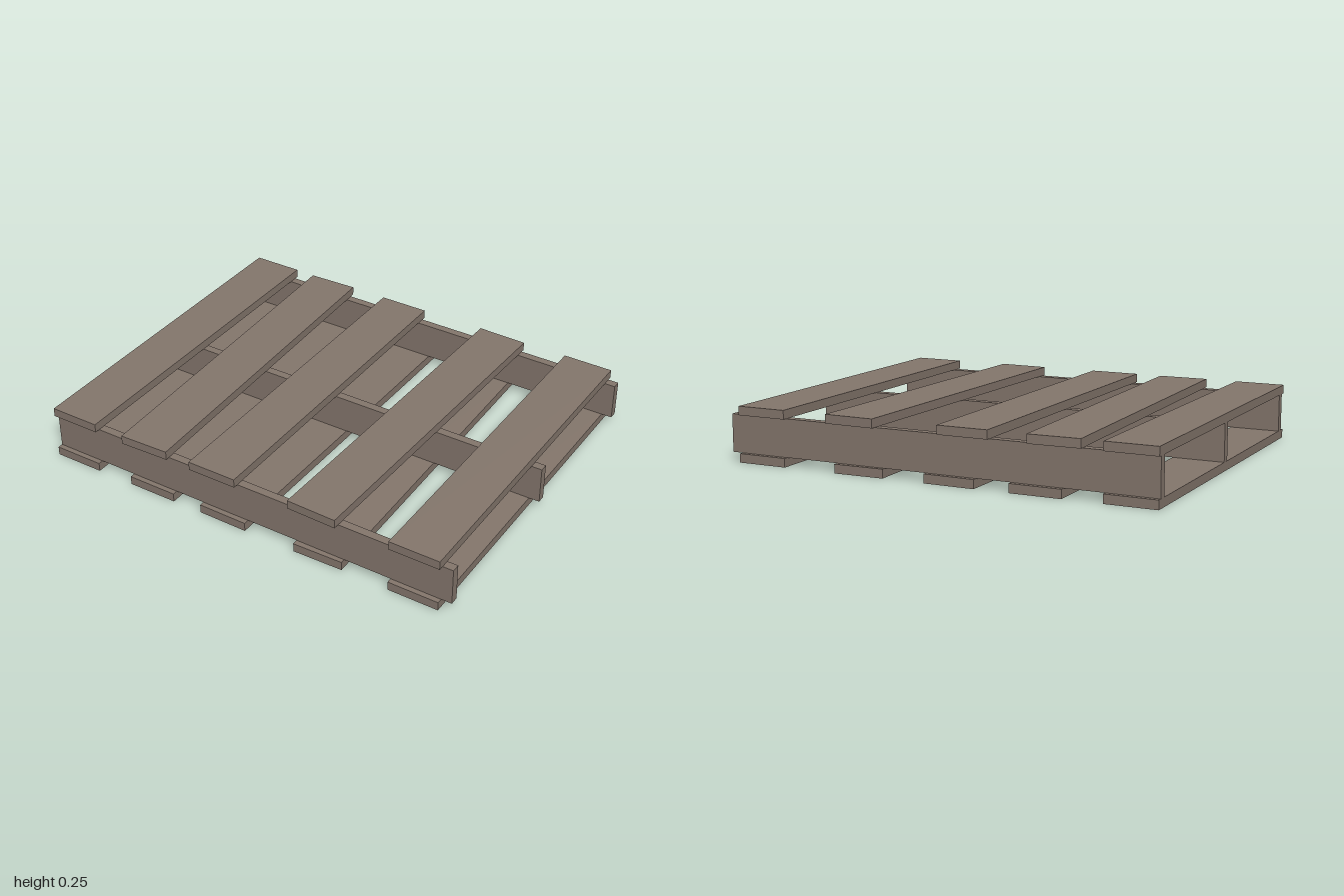
import * as THREE from 'three';

const BOARD = { width: 0.233, thick: 0.04, length: 1.592 };
const STRINGER = { length: 2, height: 0.17, thick: 0.038 };

// Deck boards as [centre x, turn about y]; some are nailed on slightly askew
const TOP = [[-0.884, 0], [-0.528, 0.033], [-0.145, 0], [0.372, -0.026], [0.835, 0]];
const BOTTOM = [[-0.884, 0], [-0.473, 0], [-0.09, -0.01], [0.365, 0.021], [0.835, 0]];

export function createModel() {
  const wood = new THREE.MeshStandardMaterial({ color: 0x85776d });
  wood.name = 'weathered wood';
  const pallet = new THREE.Group();
  pallet.name = 'pallet';

  const boardGeometry = new THREE.BoxGeometry(BOARD.width, BOARD.thick, BOARD.length);
  const stringerGeometry = new THREE.BoxGeometry(STRINGER.length, STRINGER.height, STRINGER.thick);

  function add(geometry, name, x, y, z, turn = 0) {
    const mesh = new THREE.Mesh(geometry, wood);
    mesh.name = name;
    mesh.position.set(x, y, z);
    mesh.rotation.y = turn;
    pallet.add(mesh);
  }

  // Bottom and top decks
  const half = BOARD.thick / 2;
  const topY = BOARD.thick + STRINGER.height + half;
  BOTTOM.forEach(([x, turn], i) => add(boardGeometry, `bottomBoard${i + 1}`, x, half, 0, turn));
  TOP.forEach(([x, turn], i) => add(boardGeometry, `topBoard${i + 1}`, x, topY, 0, turn));

  // Three upright stringers between the decks
  const stringerY = BOARD.thick + STRINGER.height / 2;
  [['frontStringer', 0.753], ['middleStringer', -0.016], ['backStringer', -0.757]]
    .forEach(([name, z]) => add(stringerGeometry, name, 0, stringerY, z));

  return pallet;
}
